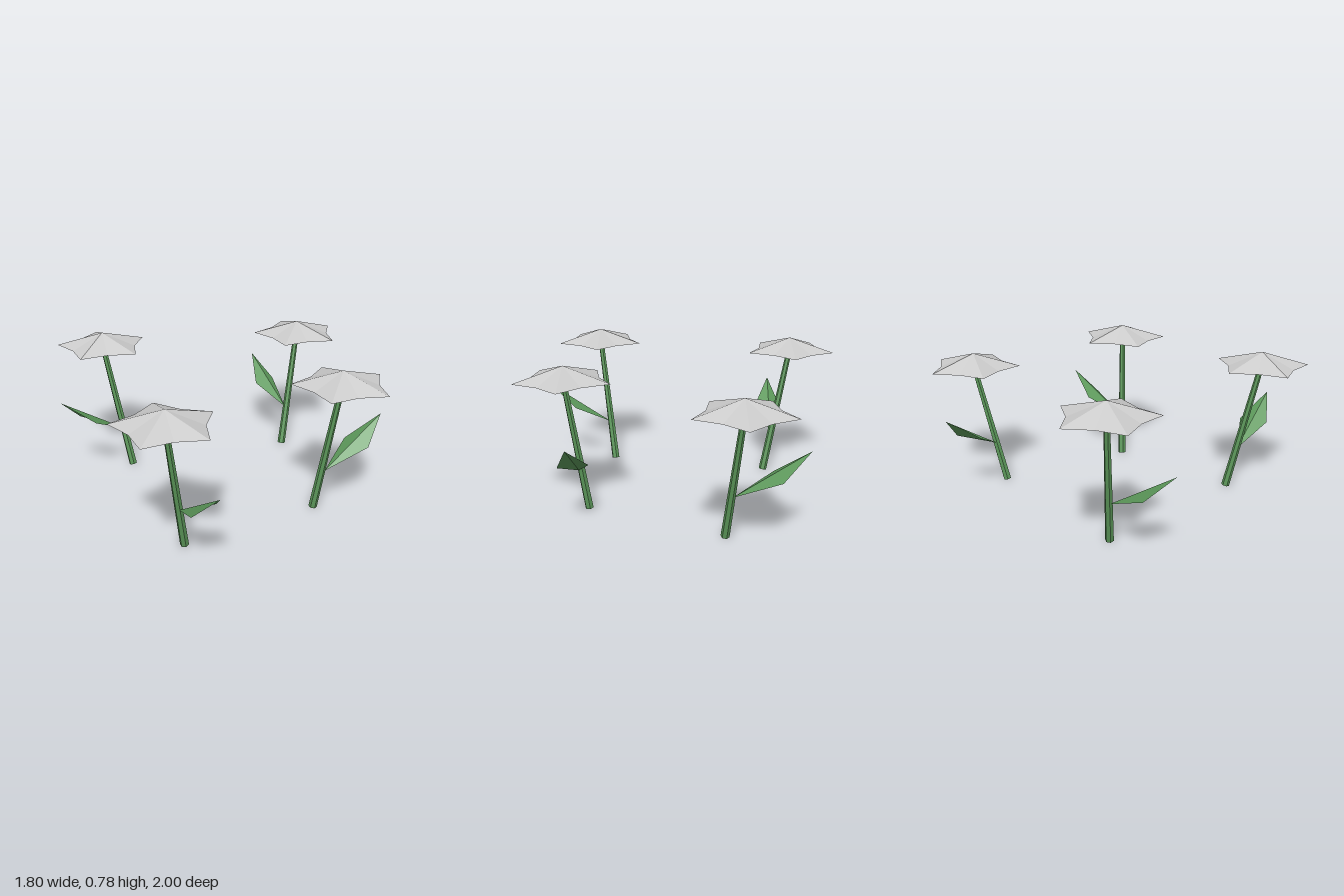
import * as THREE from 'three';

const petalMat = new THREE.MeshStandardMaterial({ color: 0xcccccc, flatShading: true, side: THREE.DoubleSide });
const greenMat = new THREE.MeshStandardMaterial({ color: 0x5c985a, flatShading: true, side: THREE.DoubleSide });

// Foot and head position of each flower, and its turn about y in quarter steps
const flowers = [
  { foot: [0.225, 0.61], head: [0.26, 0.705, 0.76], turn: 0 },
  { foot: [0.53, -0.07], head: [0.64, 0.708, -0.10], turn: 1 },
  { foot: [-0.02, -0.605], head: [-0.04, 0.665, -0.76], turn: 2 },
  { foot: [-0.553, 0.15], head: [-0.71, 0.703, 0.18], turn: 3 },
];

// Five-pointed shallow cone, open underneath: every second rim point is pulled in
function makeHead() {
  const geo = new THREE.ConeGeometry(0.25, 0.073, 10, 1, true, Math.PI / 2);
  geo.translate(0, 0.0365, 0);
  const pos = geo.attributes.position;
  for (let i = 0; i < pos.count; i++) {
    if (pos.getY(i) > 0.01) continue;
    const a = Math.atan2(pos.getZ(i), pos.getX(i));
    const step = Math.round(a / (Math.PI / 5));
    const r = step % 2 === 0 ? 0.25 : 0.178;
    pos.setX(i, r * Math.cos(a));
    pos.setZ(i, r * Math.sin(a));
  }
  geo.computeVertexNormals();
  return geo;
}

// Diamond leaf: base, two side corners and tip, relative to the foot of the stem
function makeLeaf() {
  const geo = new THREE.BufferGeometry();
  geo.setAttribute('position', new THREE.Float32BufferAttribute([
    0.015, 0.225, 0.05,
    0.225, 0.33, 0.04,
    0.353, 0.46, 0.173,
    0.205, 0.325, 0.19,
  ], 3));
  geo.setIndex([0, 2, 1, 0, 3, 2]);
  geo.computeVertexNormals();
  return geo;
}

// Tapered six-sided stem between two points
function makeStem(from, to) {
  const dir = to.clone().sub(from);
  const mesh = new THREE.Mesh(new THREE.CylinderGeometry(0.015, 0.022, dir.length(), 6), greenMat);
  mesh.position.copy(from).addScaledVector(dir, 0.5);
  mesh.quaternion.setFromUnitVectors(new THREE.Vector3(0, 1, 0), dir.normalize());
  mesh.name = 'stem';
  return mesh;
}

export function createModel() {
  const model = new THREE.Group();
  model.name = 'flowers';
  const headGeo = makeHead();
  const leafGeo = makeLeaf();

  for (const { foot, head, turn } of flowers) {
    const flower = new THREE.Group();
    flower.name = 'flower';
    const bottom = new THREE.Vector3(foot[0], 0.005, foot[1]);
    const top = new THREE.Vector3(...head);

    const blossom = new THREE.Mesh(headGeo, petalMat);
    blossom.name = 'blossom';
    blossom.position.copy(top);

    const leaf = new THREE.Mesh(leafGeo, greenMat);
    leaf.name = 'leaf';
    leaf.position.set(foot[0], 0, foot[1]);
    leaf.rotation.y = turn * Math.PI / 2;

    flower.add(makeStem(bottom, top), leaf, blossom);
    model.add(flower);
  }
  return model;
}
